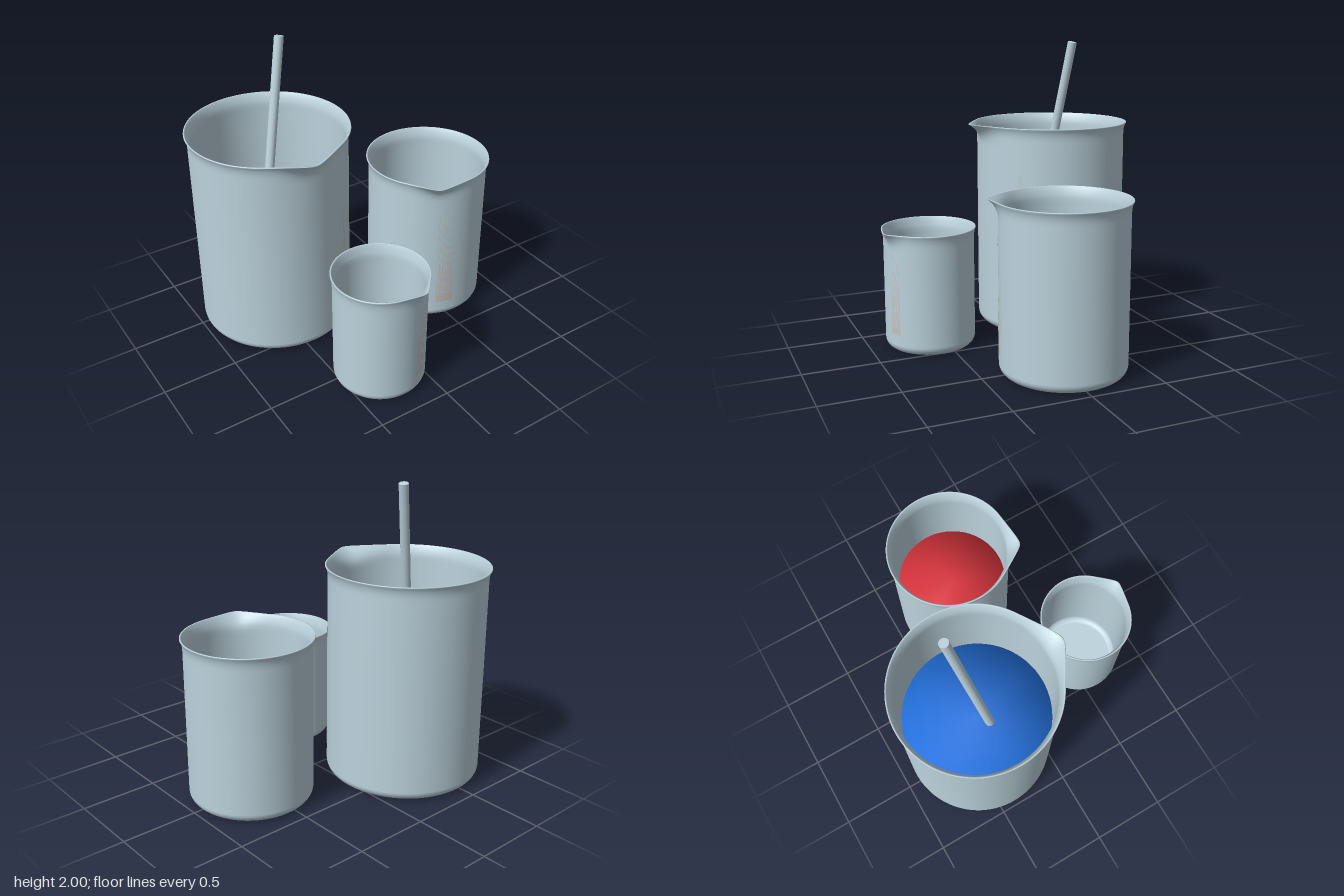
import * as THREE from 'three';
import { mergeVertices } from 'three/addons/utils/BufferGeometryUtils.js';

const mat = (name, color, side = THREE.FrontSide) => {
  const m = new THREE.MeshStandardMaterial({ color, side });
  m.name = name;
  return m;
};

const part = (name, geometry, material) => {
  const mesh = new THREE.Mesh(geometry, material);
  mesh.name = name;
  return mesh;
};

// Walled vessel: a lathe whose upper edge is pulled out into a pouring spout
function vesselGeometry({ R, F, H, spoutAngle, spoutSpan, spoutHeight }) {
  const T = 0.017, c = 0.06;
  const profile = [[0, 0.008], [R * 0.7, 0.006], [R - c, 0]];
  for (let i = 1; i <= 6; i++) {
    const a = (i / 6) * Math.PI / 2;
    profile.push([R - c + c * Math.sin(a), c - c * Math.cos(a)]);
  }
  // outer wall and flared lip
  for (const d of [0.16, 0.13, 0.105, 0.08]) profile.push([R, H - d]);
  profile.push([R + 0.001, H - 0.06], [R + (F - R) * 0.25, H - 0.035], [R + (F - R) * 0.7, H - 0.014],
    [F, H - 0.006], [F - 0.001, H - 0.001], [F - 0.006, H], [F - 0.012, H - 0.003]);
  // inner wall
  profile.push([R - T * 0.3, H - 0.03], [R - T * 0.8, H - 0.055]);
  for (const d of [0.08, 0.105, 0.13, 0.16]) profile.push([R - T, H - d]);
  for (let i = 0; i <= 5; i++) {
    const a = (i / 5) * Math.PI / 2;
    profile.push([R - c + (c - T) * Math.cos(a), c - (c - T) * Math.sin(a)]);
  }
  profile.push([0, c - (c - T)]);

  const geo = new THREE.LatheGeometry(profile.map(([r, y]) => new THREE.Vector2(Math.max(r, 0), y)), 128);
  const p = geo.attributes.position;
  for (let i = 0; i < p.count; i++) {
    const x = p.getX(i), y = p.getY(i), z = p.getZ(i);
    const w = Math.max(0, 1 - (H - y) / spoutHeight);
    if (w === 0) continue;
    let a = Math.atan2(x, z) - spoutAngle;
    a = Math.atan2(Math.sin(a), Math.cos(a));
    const soft = Math.sqrt(a * a + 0.0036);
    if (soft >= spoutSpan) continue;
    const k = 1 + w * w * (1 / Math.cos(spoutSpan - soft) - 1);
    p.setXYZ(i, x * k, y, z * k);
  }
  geo.deleteAttribute('uv');
  geo.deleteAttribute('normal');
  const merged = mergeVertices(geo, 1e-5);
  merged.computeVertexNormals();
  return merged;
}

// Liquid body filling a vessel up to a level
function liquidGeometry(r, level) {
  const pts = [[0, 0.05], [r - 0.06, 0.05], [r, 0.11], [r, level], [0, level]];
  return new THREE.LatheGeometry(pts.map(([x, y]) => new THREE.Vector2(x, y)), 96);
}

// Worn measuring scale: a small panel with uneven upright strokes
function scale(R, from, to, bottom, top, material, seed) {
  const g = new THREE.Group();
  g.name = 'measuringScale';
  let s = seed;
  const rnd = () => (s = (s * 16807) % 2147483647) / 2147483647;
  const plate = (a, b, y0, y1) => {
    const geo = new THREE.CylinderGeometry(R + 0.002, R + 0.002, y1 - y0, 4, 1, true, a, b - a);
    geo.translate(0, (y0 + y1) / 2, 0);
    return geo;
  };
  const span = top - bottom;
  g.add(part('scaleBase', plate(from, to, bottom, bottom + span * 0.08), material));
  const n = 11, step = (to - from) / n;
  for (let i = 0; i < n; i++) {
    const a = from + step * (i + 0.2);
    const mid = bottom + span * (0.2 + 0.4 * rnd());
    g.add(part('scaleStroke', plate(a, a + step * 0.6, bottom + span * 0.08, mid), material));
    const high = mid + (top - mid) * (0.4 + 0.6 * rnd());
    g.add(part('scaleFineStroke', plate(a, a + step * 0.2, mid, high), material));
  }
  return g;
}

export function createModel() {
  const model = new THREE.Group();
  model.name = 'beakerSet';
  const glass = mat('paleGlass', 0xbcd2dc, THREE.DoubleSide);
  const print = mat('scaleGrey', 0xc4c0bc, THREE.DoubleSide);
  const blue = mat('blueLiquid', 0x2272e0);
  const red = mat('redLiquid', 0xd8323c);

  const beakers = [
    { name: 'largeBeaker', x: -0.455, z: -0.395, R: 0.52, F: 0.538, H: 1.44, spoutAngle: 0,
      spoutSpan: 0.575, spoutHeight: 0.13, liquid: blue, level: 0.78, scale: [0.49, 0.81, 0.14, 1.2] },
    { name: 'mediumBeaker', x: 0.565, z: -0.022, R: 0.404, F: 0.421, H: 1.095, spoutAngle: -0.47,
      spoutSpan: 0.57, spoutHeight: 0.12, liquid: red, level: 0.55, scale: [-0.42, -0.11, 0.13, 0.92] },
    { name: 'smallBeaker', x: -0.243, z: 0.588, R: 0.3, F: 0.313, H: 0.805, spoutAngle: 0.32,
      spoutSpan: 0.54, spoutHeight: 0.11, scale: [0.28, 0.57, 0.13, 0.69] },
  ];
  beakers.forEach((b, i) => {
    const g = new THREE.Group();
    g.name = b.name;
    g.position.set(b.x, 0, b.z);
    g.add(part('glassWall', vesselGeometry(b), glass));
    if (b.liquid) g.add(part('liquid', liquidGeometry(b.R - 0.022, b.level), b.liquid));
    g.add(scale(b.R, ...b.scale, print, 101 + i * 977));
    model.add(g);
  });

  // Stirring rod leaning in the large beaker
  const low = new THREE.Vector3(-0.675, 0.07, -0.262);
  const high = new THREE.Vector3(-0.293, 1.993, -0.485);
  const dir = high.clone().sub(low);
  const rod = part('stirringRod', new THREE.CylinderGeometry(0.031, 0.031, dir.length(), 24), glass);
  rod.position.copy(low).add(high).multiplyScalar(0.5);
  rod.quaternion.setFromUnitVectors(new THREE.Vector3(0, 1, 0), dir.normalize());
  model.add(rod);

  return model;
}
